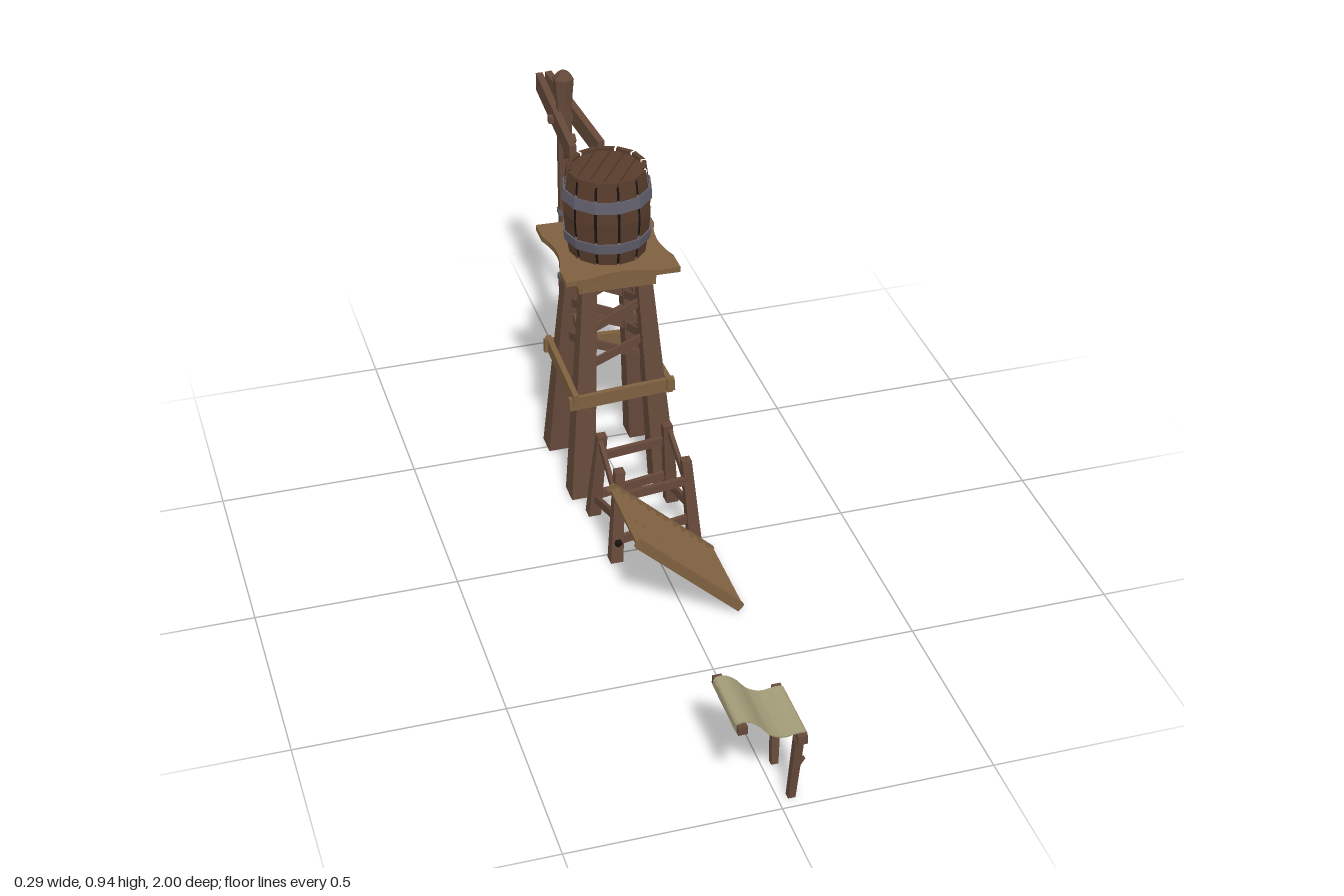
import * as THREE from 'three';

const mat = (name, color) => {
  const m = new THREE.MeshStandardMaterial({ color });
  m.name = name;
  return m;
};
const V = (x, y, z) => new THREE.Vector3(x, y, z);

// Gives every facet its own normal
function facet(geo) {
  const g = geo.index ? geo.toNonIndexed() : geo;
  g.computeVertexNormals();
  return g;
}

export function createModel() {
  const wood = mat('dark wood', 0x65493a);
  const plank = mat('light wood', 0x7e603f);
  const cask = mat('barrel wood', 0x573c2c);
  const metal = mat('grey metal', 0x605e6b);
  const cloth = mat('canvas', 0xa39c78);
  const dark = mat('dark gaps', 0x17120f);

  const root = new THREE.Group();
  const group = (name, parent = root) => {
    const g = new THREE.Group();
    g.name = name;
    parent.add(g);
    return g;
  };
  const add = (parent, name, geo, material) => {
    const m = new THREE.Mesh(geo, material);
    m.name = name;
    parent.add(m);
    return m;
  };
  // Upright post with level ends, tapering from width w0 to w1
  const post = (parent, name, a, b, w0, w1, material) => {
    const geo = new THREE.BoxGeometry(1, 1, 1), p = geo.attributes.position;
    for (let i = 0; i < p.count; i++) {
      const t = p.getY(i) + 0.5, w = w0 + (w1 - w0) * t, c = a.clone().lerp(b, t);
      p.setXYZ(i, c.x + p.getX(i) * w, c.y, c.z + p.getZ(i) * w);
    }
    return add(parent, name, facet(geo), material);
  };
  // Straight bar from a to b: height h, thickness t
  const bar = (parent, name, a, b, h, t, material) => {
    const dir = b.clone().sub(a), len = dir.length();
    dir.normalize();
    const side = V(0, 1, 0).cross(dir).normalize(), up = dir.clone().cross(side);
    const m = add(parent, name, new THREE.BoxGeometry(t, h, len), material);
    m.quaternion.setFromRotationMatrix(new THREE.Matrix4().makeBasis(side, up, dir));
    m.position.copy(a).add(b).multiplyScalar(0.5);
    return m;
  };

  // ---- Water tower ----
  const tower = group('waterTower');
  tower.position.z = -0.395;
  const legMats = [wood, wood, wood, dark, wood, wood];
  for (const sx of [-1, 1]) for (const sz of [-1, 1]) {
    const geoLeg = post(tower, 'towerLeg', V(sx * 0.11, 0, sz * 0.115), V(sx * 0.068, 0.635, sz * 0.07), 0.062, 0.036, wood);
    geoLeg.geometry.clearGroups();
    for (let i = 0; i < 6; i++) geoLeg.geometry.addGroup(i * 6, 6, i);
    geoLeg.material = legMats;
  }
  for (let i = 0; i < 4; i++) {
    const side = group('towerSide', tower), s = i % 2 ? -1 : 1, j = i > 1 ? 0.012 : 0;
    side.rotation.y = i * Math.PI / 2;
    bar(side, 'middleBoard', V(-0.138, 0.288 - s * 0.008 + j, 0.123), V(0.138, 0.288 + s * 0.006 + j, 0.123), 0.036, 0.014, plank);
    bar(side, 'lowerSkirt', V(-0.094, 0.593 + s * 0.004, 0.092), V(0.094, 0.592, 0.092), 0.026, 0.014, plank);
    bar(side, 'upperSkirt', V(-0.1, 0.622, 0.098), V(0.1, 0.618 + s * 0.003, 0.098), 0.026, 0.014, plank);
    for (const [y, x] of [[0.39, 0.075], [0.49, 0.068]]) {
      bar(side, 'crossBrace', V(-x, y - 0.032, x + 0.006), V(x, y + 0.032, x + 0.006), 0.021, 0.009, wood);
      bar(side, 'crossBrace', V(-x, y + 0.032, x - 0.004), V(x, y - 0.032, x - 0.004), 0.021, 0.009, wood);
    }
  }

  // Platform with sides curving inward, slightly tilted
  const c = 0.146, n = 0.112, q = 0.085;
  const deck = new THREE.Shape();
  deck.moveTo(-c, -c);
  deck.lineTo(-q, -c); deck.quadraticCurveTo(0, -n, q, -c); deck.lineTo(c, -c);
  deck.lineTo(c, -q); deck.quadraticCurveTo(n, 0, c, q); deck.lineTo(c, c);
  deck.lineTo(q, c); deck.quadraticCurveTo(0, n, -q, c); deck.lineTo(-c, c);
  deck.lineTo(-c, q); deck.quadraticCurveTo(-n, 0, -c, -q);
  const deckGeo = new THREE.ExtrudeGeometry(deck, { depth: 0.014, bevelEnabled: false, curveSegments: 6 });
  deckGeo.rotateX(-Math.PI / 2).rotateZ(-0.02);
  add(tower, 'platform', deckGeo, plank).position.y = 0.635;

  // Barrel: twelve staves around a dark core, two hoops, plank lid
  const barrel = group('barrel', tower);
  const profile = [[0.098, 0.648], [0.107, 0.705], [0.112, 0.765], [0.108, 0.815], [0.1, 0.877]];
  const ring = (pts, seg, start, len) => facet(new THREE.LatheGeometry(pts.map(p => new THREE.Vector2(...p)), seg, start, len));
  add(barrel, 'barrelCore', ring([[0, 0.65], ...profile.map(([r, y]) => [r - 0.006, Math.min(y, 0.86)]), [0, 0.86]], 12, 0, Math.PI * 2), dark);
  const section = [...profile, [0.088, 0.877], [0.088, 0.855]];
  const step = Math.PI / 6;
  for (let i = 0; i < 12; i++) {
    add(barrel, 'stave', ring(section, 1, i * step + 0.03, step - 0.06), cask);
  }
  for (const [y0, r0, y1, r1] of [[0.686, 0.109, 0.713, 0.113], [0.8, 0.115, 0.829, 0.111]]) {
    add(barrel, 'hoop', ring([[0.1, y0], [r0, y0], [r1, y1], [0.1, y1]], 12, 0, Math.PI * 2), metal);
  }
  const lid = group('lid', barrel);
  lid.rotation.y = -0.6;
  lid.position.y = 0.859;
  const R = 0.089, planks = 5, w = 2 * R / planks;
  for (let i = 0; i < planks; i++) {
    const x0 = -R + i * w + 0.0015, x1 = x0 + w - 0.003, shape = [];
    for (let k = 0; k <= 4; k++) {
      const x = x0 + (x1 - x0) * k / 4;
      shape.push(new THREE.Vector2(x, -Math.sqrt(R * R - x * x)));
    }
    for (let k = 4; k >= 0; k--) shape.push(new THREE.Vector2(shape[k].x, -shape[k].y));
    const g = new THREE.ExtrudeGeometry(new THREE.Shape(shape), { depth: 0.01, bevelEnabled: false });
    add(lid, 'lidPlank', g.rotateX(-Math.PI / 2), cask);
  }

  // ---- Signpost ----
  const sign = group('signpost');
  sign.position.z = -0.8;
  const hex = (name, r0, r1, y0, y1, material) => {
    const g = new THREE.CylinderGeometry(r1, r0, y1 - y0, 6).translate(0, (y0 + y1) / 2, 0);
    return add(sign, name, facet(g), material);
  };
  hex('postFoot', 0.045, 0.031, 0, 0.105, metal);
  hex('lowerPost', 0.027, 0.024, 0.1, 0.33, wood);
  hex('upperPost', 0.022, 0.02, 0.33, 0.87, wood);
  hex('postHead', 0.022, 0.028, 0.85, 0.918, wood);
  hex('postTip', 0.028, 0.012, 0.918, 0.936, wood);
  hex('postBand', 0.027, 0.027, 0.32, 0.335, metal);
  hex('postBand', 0.025, 0.025, 0.525, 0.537, metal);
  bar(sign, 'crossArm', V(-0.026, 0.795, 0.185), V(-0.014, 0.815, -0.2), 0.05, 0.018, wood);
  bar(sign, 'crossArm', V(0.048, 0.797, 0.183), V(0.01, 0.817, -0.198), 0.05, 0.018, wood);
  for (const s of [-1, 1]) {
    bar(sign, 'armBrace', V(0, 0.7, s * 0.01), V(0, 0.79, s * 0.085), 0.02, 0.016, wood);
  }
  bar(sign, 'armPin', V(-0.042, 0.805, 0), V(0.042, 0.805, 0), 0.018, 0.018, wood);

  // ---- Trestle frame ----
  const trestle = group('trestle');
  trestle.position.z = -0.08;
  for (const s of [-1, 1]) {
    for (const t of [-1, 1]) post(trestle, 'trestlePost', V(s * 0.103, 0, t * 0.103), V(s * 0.085, 0.25, t * 0.08), 0.032, 0.024, wood);
    bar(trestle, 'upperSideRail', V(s * 0.092, 0.158, 0.09), V(s * 0.09, 0.235, -0.082), 0.022, 0.01, wood);
    bar(trestle, 'lowerSideRail', V(s * 0.094, 0.118, 0.095), V(s * 0.1, 0.048, -0.1), 0.022, 0.01, wood);
    bar(trestle, 'upperRail', V(-0.092, 0.178, s * 0.092), V(0.09, 0.195, s * 0.092), 0.022, 0.012, wood);
    bar(trestle, 'lowerRail', V(-0.1, 0.055, s * 0.1), V(0.1, 0.085, s * 0.098), 0.022, 0.012, wood);
  }
  add(trestle, 'knot', facet(new THREE.IcosahedronGeometry(0.012, 0)), dark).position.set(-0.098, 0.055, 0.112);

  // ---- Steps: level treads on sloping stringers ----
  const steps = group('steps');
  const treads = 12, z0 = 0.064, z1 = 0.314;
  for (let i = 0; i < treads; i++) {
    const t = (i + 0.5) / treads;
    const tread = add(steps, 'tread', new THREE.BoxGeometry(0.0215, 0.009, z1 - z0 - 0.008), plank);
    tread.position.set(0.133 - 0.262 * t, 0.01 + 0.25 * t, (z0 + z1) / 2);
  }
  for (const z of [z0 + 0.006, z1 - 0.006]) {
    bar(steps, 'stringer', V(0.13, 0.012, z), V(-0.128, 0.258, z), 0.022, 0.012, plank);
  }
  bar(steps, 'middleStringer', V(0.125, 0.01, 0.189), V(-0.125, 0.249, 0.189), 0.014, 0.01, wood);

  // ---- Awning ----
  const awning = group('awning');
  awning.position.z = 0.906;
  bar(awning, 'upperPole', V(-0.096, 0.246, -0.092), V(-0.096, 0.246, 0.094), 0.02, 0.022, wood);
  bar(awning, 'lowerPole', V(0.042, 0.186, -0.092), V(0.042, 0.186, 0.094), 0.022, 0.022, wood);
  for (const s of [-1, 1]) {
    post(awning, 'awningLeg', V(0.031, 0, s * 0.058), V(0.038, 0.18, s * 0.076), 0.017, 0.02, wood);
  }
  bar(awning, 'peg', V(0.032, 0.085, 0.07), V(0.052, 0.118, 0.07), 0.009, 0.009, wood);
  const drape = new THREE.CatmullRomCurve3([
    V(-0.109, 0.238, 0), V(-0.106, 0.258, 0), V(-0.085, 0.261, 0), V(-0.06, 0.246, 0), V(-0.03, 0.212, 0),
    V(0.002, 0.197, 0), V(0.035, 0.201, 0), V(0.054, 0.198, 0), V(0.057, 0.176, 0),
  ]).getPoints(20);
  const sheet = new THREE.Shape([
    ...drape.map(p => new THREE.Vector2(p.x, p.y)),
    ...drape.slice().reverse().map(p => new THREE.Vector2(p.x * 0.97 - 0.001, p.y - 0.004)),
  ]);
  const sheetGeo = new THREE.ExtrudeGeometry(sheet, { depth: 0.16, bevelEnabled: false }).translate(0, 0, -0.079);
  add(awning, 'canvasSheet', sheetGeo, cloth);

  return root;
}
